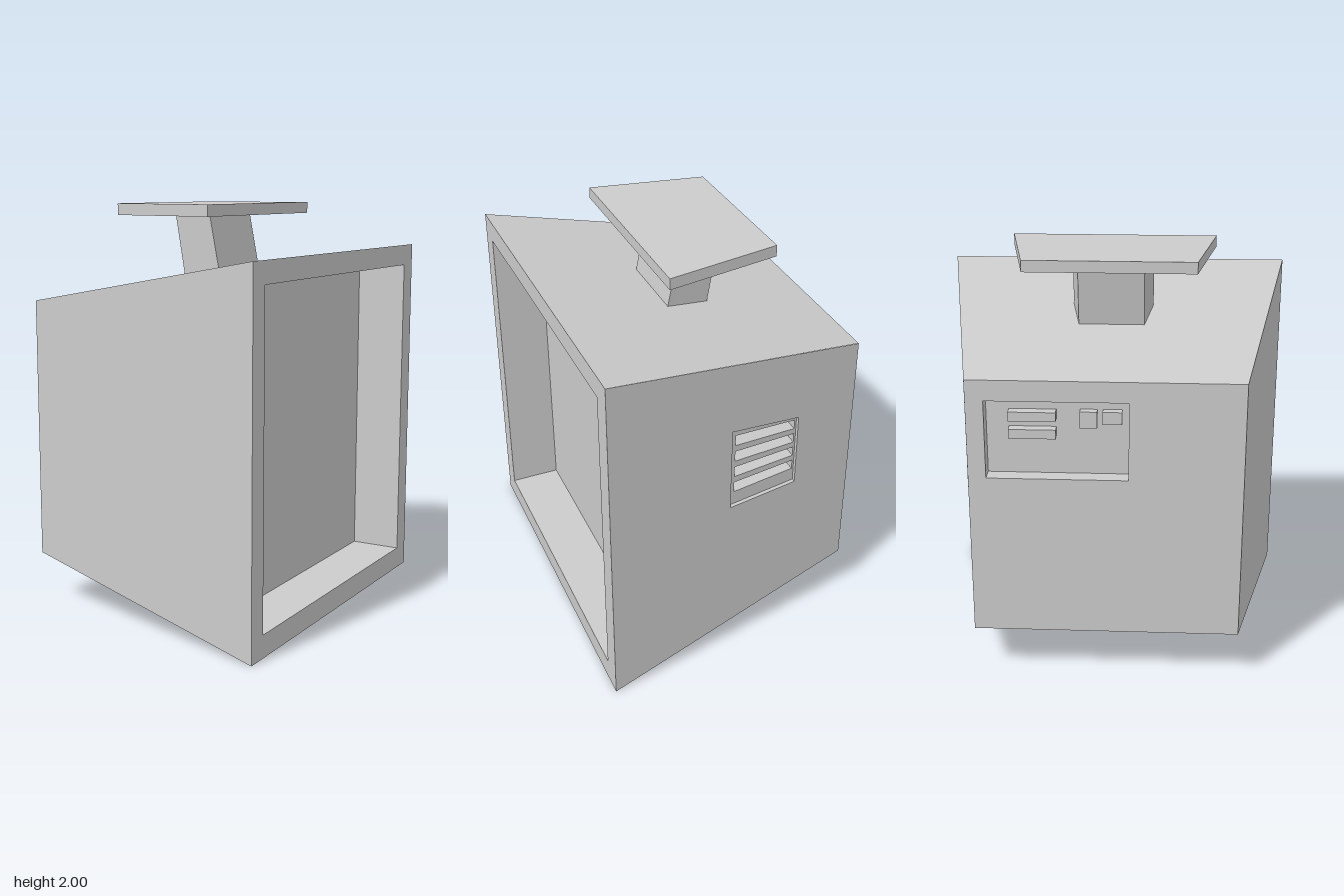
import * as THREE from 'three';
import { mergeGeometries } from 'three/addons/utils/BufferGeometryUtils.js';

const material = new THREE.MeshStandardMaterial({ color: 0xcccccc, flatShading: true });

// Half depth (z) of the tapered body at a given x
const halfZ = (x) => 0.762 + 0.178 * x;

// Face frames: (u right, v up, out) as seen from outside -> model space
const screenSide = (u, v, out) => [0.675 + out, v, -u];
const rearSide = (u, v, out) => [-0.675 - out, v, u];
const ventSide = (u, v, out) => [-u, v, -halfZ(-u) - out];

const rect = (u0, v0, u1, v1) => [[u0, v0], [u1, v0], [u1, v1], [u0, v1]];

// Move every vertex of a geometry by a rule
function reshape(geometry, rule) {
  const g = geometry.index ? geometry.toNonIndexed() : geometry;
  const p = g.attributes.position;
  for (let i = 0; i < p.count; i++) p.setXYZ(i, ...rule(p.getX(i), p.getY(i), p.getZ(i)));
  g.deleteAttribute('uv');
  g.computeVertexNormals();
  return g;
}

// Flat polygon with holes on a face frame
function panel(frame, outline, holes = [], out = 0) {
  const toVectors = (pts) => pts.map(([u, v]) => new THREE.Vector2(u, v));
  const shape = new THREE.Shape(toVectors(outline));
  holes.forEach((h) => shape.holes.push(new THREE.Path(toVectors(h))));
  return reshape(new THREE.ShapeGeometry(shape), (u, v) => frame(u, v, out));
}

function quad(a, b, c, d) {
  const g = new THREE.BufferGeometry();
  g.setAttribute('position', new THREE.Float32BufferAttribute([a, b, c, a, c, d].flat(), 3));
  g.computeVertexNormals();
  return g;
}

// Inward-facing walls and floor behind an opening
function recess(frame, mouth, from, depth, floorHoles = []) {
  const parts = [panel(frame, mouth, floorHoles, from - depth)];
  mouth.forEach((a, i) => {
    const b = mouth[(i + 1) % mouth.length];
    parts.push(quad(frame(...a, from), frame(...b, from), frame(...b, from - depth), frame(...a, from - depth)));
  });
  return mergeGeometries(parts);
}

export function createModel() {
  const group = new THREE.Group();
  const add = (name, geometry) => {
    const mesh = new THREE.Mesh(geometry, material);
    mesh.name = name;
    group.add(mesh);
  };

  // Openings
  const screenMouth = rect(-0.776, 0.11, 0.776, 1.67);
  const socketMouth = rect(-0.556, 1.05, 0.107, 1.43);
  const ventMouth = [[-0.03, 0.86], [0.345, 0.855], [0.345, 1.235], [-0.03, 1.3]];

  // Tapered housing: large screen end at +x, small rear end at -x
  const L = 0.675, zs = 0.64, zl = 0.882, sb = 0.25, st = 1.53, lt = 1.775;
  add('housing', mergeGeometries([
    panel(screenSide, rect(-zl, 0, zl, lt), [screenMouth]),
    panel(rearSide, rect(-zs, sb, zs, st), [socketMouth]),
    panel(ventSide, [[-L, 0], [L, sb], [L, st], [-L, lt]], [ventMouth]),
    quad([-L, sb, zs], [L, 0, zl], [L, lt, zl], [-L, st, zs]),
    quad([-L, st, zs], [L, lt, zl], [L, lt, -zl], [-L, st, -zs]),
    quad([-L, sb, -zs], [L, 0, -zl], [L, 0, zl], [-L, sb, zs]),
  ]));

  add('screenRecess', recess(screenSide, screenMouth, 0, 0.257));
  add('socketRecess', recess(rearSide, socketMouth, 0, 0.08));

  // Louvred vent: shallow recess with four slots that fan with the taper
  const slots = [0, 1, 2, 3].map((i) => {
    const lo = i * 0.272, hi = lo + 0.17;
    const left = (f) => [-0.002, 0.93 + 0.33 * f];
    const right = (f) => [0.335, 0.925 + 0.29 * f];
    return [left(lo), right(lo), right(hi), left(hi)];
  });
  add('ventPlate', recess(ventSide, ventMouth, 0, 0.02, slots));
  slots.forEach((s) => add('ventSlot', recess(ventSide, s, -0.02, 0.08)));

  // Sockets on the rear panel: [z centre, y centre, width, height, depth]
  [
    [-0.34, 1.345, 0.22, 0.045, 0.05],
    [-0.34, 1.26, 0.22, 0.045, 0.05],
    [-0.08, 1.33, 0.08, 0.08, 0.04],
    [0.03, 1.34, 0.09, 0.06, 0.04],
  ].forEach(([z, y, w, h, d]) => {
    const box = new THREE.BoxGeometry(d, h, w);
    box.translate(-0.595 - d / 2, y, z);
    box.deleteAttribute('uv');
    add('socket', box);
  });

  // Leaning neck, tapered in depth like the housing
  add('neck', reshape(new THREE.BoxGeometry(2, 2, 2), (x, y, z) =>
    (y > 0
      ? [-0.055 + 0.11 * x, 1.95, z * (0.18 + 0.02 * x)]
      : [0.11 * x, 1.65 + 0.02 * x, z * (0.18 + 0.02 * x)])));

  // Stand plate
  add('standPlate', reshape(new THREE.BoxGeometry(2, 2, 2), (x, y, z) =>
    [-0.055 + 0.285 * x, 1.972 + 0.028 * y, z * (0.459 + 0.05 * x)]));

  return group;
}
